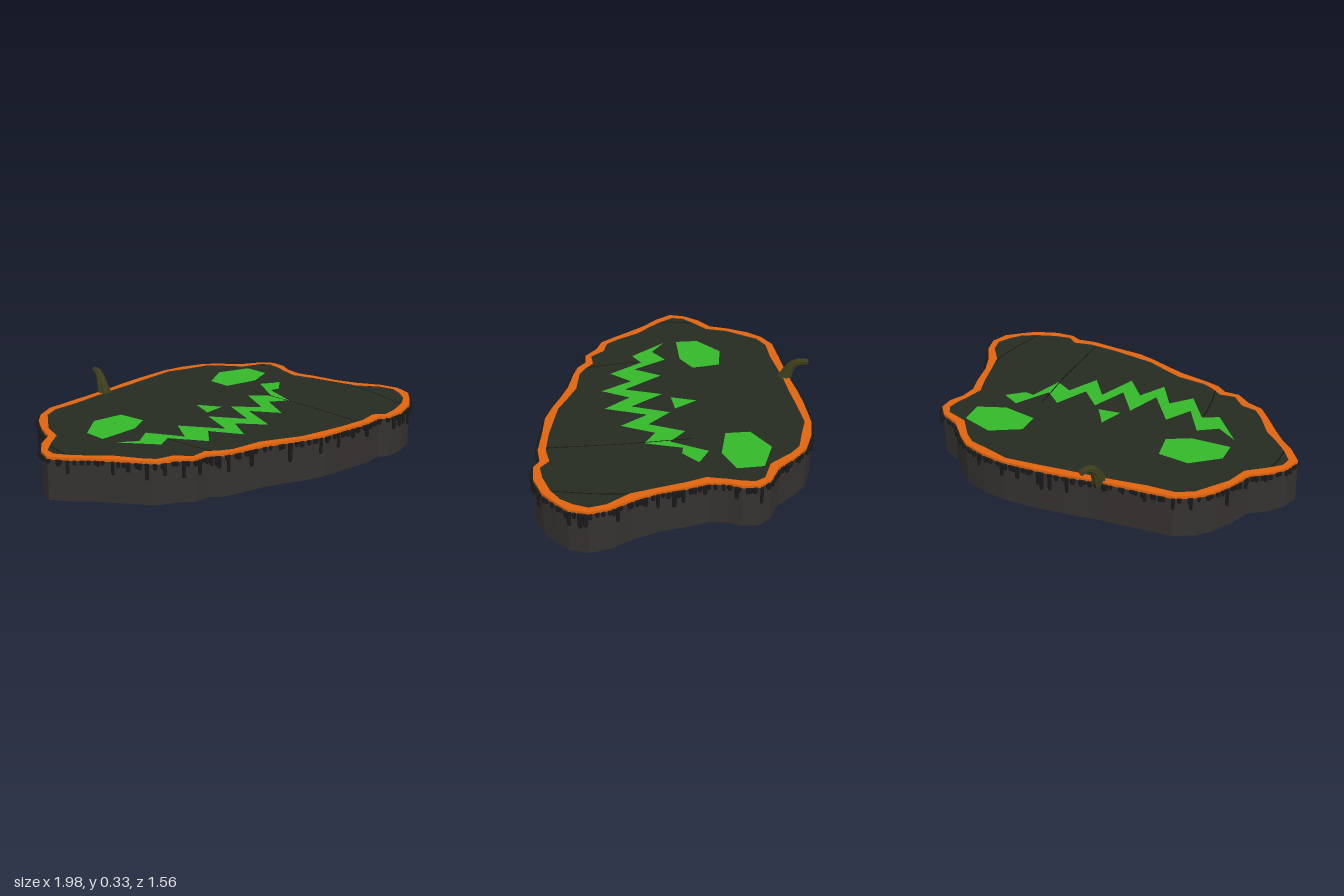
import * as THREE from 'three';
import { mergeGeometries } from 'three/addons/utils/BufferGeometryUtils.js';

// Outline seen from above as [x, z], starting at the back left
const OUTLINE = [
  [-0.5, -0.70], [-0.35, -0.695], [-0.1, -0.685], [0.05, -0.69], [0.2, -0.685], [0.38, -0.67], [0.5, -0.635],
  [0.62, -0.575], [0.68, -0.51], [0.76, -0.4], [0.86, -0.335], [0.9, -0.27], [0.89, -0.19], [0.85, -0.13],
  [0.83, -0.04], [0.85, 0.06], [0.865, 0.2], [0.9, 0.32], [0.955, 0.44], [0.97, 0.54], [0.93, 0.63],
  [0.86, 0.68], [0.78, 0.73], [0.65, 0.76], [0.55, 0.75], [0.5, 0.715], [0.4, 0.715], [0.25, 0.68], [0.1, 0.65],
  [0, 0.605], [-0.1, 0.55], [-0.2, 0.5], [-0.35, 0.45], [-0.42, 0.42], [-0.47, 0.37], [-0.55, 0.36],
  [-0.62, 0.29], [-0.7, 0.25], [-0.75, 0.17], [-0.82, 0.05], [-0.87, -0.03], [-0.93, -0.1], [-0.985, -0.2],
  [-0.95, -0.28], [-0.88, -0.35], [-0.79, -0.4], [-0.74, -0.5], [-0.67, -0.6], [-0.6, -0.66],
];

// Carved face
const FACE = {
  rightEye: [[-0.63, -0.29], [-0.48, -0.39], [-0.32, -0.35], [-0.31, -0.2], [-0.43, -0.15], [-0.64, -0.17]],
  leftEye: [[0.41, -0.345], [0.57, -0.415], [0.735, -0.335], [0.73, -0.2], [0.58, -0.16], [0.40, -0.22]],
  nose: [[0.05, -0.15], [0.115, -0.02], [-0.01, -0.02]],
  mouth: [
    [-0.645, -0.105], [-0.54, -0.015], [-0.435, -0.07], [-0.35, 0.115], [-0.255, -0.015], [-0.135, 0.2],
    [-0.05, 0.015], [0.05, 0.195], [0.145, 0.01], [0.245, 0.14], [0.345, -0.03], [0.43, 0.065],
    [0.55, -0.105], [0.645, -0.035], [0.745, -0.105], [0.55, 0.03], [0.5, 0.015], [0.425, 0.195],
    [0.335, 0.125], [0.235, 0.285], [0.15, 0.135], [0.05, 0.34], [-0.045, 0.195], [-0.14, 0.33],
    [-0.22, 0.16], [-0.325, 0.255], [-0.425, 0.07], [-0.51, 0.105],
  ],
};

const RIM_TOP = 0.225, PANEL_TOP = 0.22, BODY_TOP = 0.21;

const mat = (color, extra = {}) => new THREE.MeshStandardMaterial({ color, ...extra });
const toPoints = (pts) => pts.map(([x, z]) => new THREE.Vector2(x, -z));

function add(group, name, geometry, material) {
  const mesh = new THREE.Mesh(geometry, material);
  mesh.name = name;
  group.add(mesh);
  return mesh;
}

// Upright slab from y0 to y1 with optional holes
function slab(pts, y0, y1, holes = []) {
  const shape = new THREE.Shape(toPoints(pts));
  shape.holes = holes.map((h) => new THREE.Path(toPoints(h)));
  return new THREE.ExtrudeGeometry(shape, { depth: y1 - y0, bevelEnabled: false })
    .rotateX(-Math.PI / 2).translate(0, y0, 0);
}

function seeded(seed) {
  return () => (seed = (seed * 16807) % 2147483647) / 2147483647;
}

// Outline moved inwards by a slightly uneven width
function inset(pts, width) {
  const n = pts.length;
  return pts.map(([x, z], i) => {
    const a = pts[(i + n - 1) % n], b = pts[(i + 1) % n];
    const dx = b[0] - a[0], dz = b[1] - a[1], len = Math.hypot(dx, dz);
    const w = width * (1 + 0.2 * Math.sin(i * 2.3));
    return [x - (dz / len) * w, z + (dx / len) * w];
  });
}

// Row of short nubs and longer drips hanging below the rim
function dripGeometry() {
  const rand = seeded(77), drips = [];
  OUTLINE.forEach(([x, z], i) => {
    const [bx, bz] = OUTLINE[(i + 1) % OUTLINE.length];
    const dx = bx - x, dz = bz - z, len = Math.hypot(dx, dz);
    const count = Math.max(1, Math.round(len / 0.027));
    for (let k = 0; k < count; k++) {
      const t = (k + rand()) / count;
      const long = rand() < 0.25;
      const r = 0.008 + 0.004 * rand();
      const h = long ? 0.035 + 0.055 * rand() : 0.012 + 0.012 * rand();
      const out = 0.003 + 0.006 * rand();
      const g = new THREE.CylinderGeometry(r, r * 0.9, h, 6);
      const tip = new THREE.SphereGeometry(r * 0.9, 6, 3, 0, Math.PI * 2, Math.PI / 2, Math.PI / 2)
        .translate(0, -h / 2, 0);
      const drip = mergeGeometries([g, tip]);
      drip.scale(1.15, 1, 1).rotateY(-Math.atan2(dz, dx));
      drips.push(drip.translate(x + dx * t + (dz / len) * out, 0.213 - h / 2, z + dz * t - (dx / len) * out));
    }
  });
  return mergeGeometries(drips);
}

// Ribbed stem: a tube that tapers and is fluted around its axis
function stemGeometry() {
  const path = new THREE.CatmullRomCurve3([
    [-0.12, 0.212, -0.668], [-0.117, 0.255, -0.684], [-0.107, 0.295, -0.708],
    [-0.09, 0.317, -0.745], [-0.076, 0.319, -0.783],
  ].map((p) => new THREE.Vector3(...p)));
  const rings = 12, sides = 16;
  const g = new THREE.TubeGeometry(path, rings, 1, sides, false);
  const pos = g.attributes.position, v = new THREE.Vector3();
  for (let i = 0; i <= rings; i++) {
    const t = i / rings, c = path.getPointAt(t);
    const radius = 0.016 + 0.023 * Math.pow(1 - t, 1.6);
    for (let j = 0; j <= sides; j++) {
      const k = i * (sides + 1) + j;
      v.fromBufferAttribute(pos, k).sub(c).multiplyScalar(radius * (j % 2 ? 0.84 : 1)).add(c);
      pos.setXYZ(k, v.x, v.y, v.z);
    }
  }
  g.computeVertexNormals();
  return { g, end: path.getPointAt(1), dir: path.getTangentAt(1) };
}

export function createModel() {
  const model = new THREE.Group();
  model.name = 'carvedPumpkinSlab';

  // Thick side wall with closed bottom
  add(model, 'body', slab(OUTLINE, 0, BODY_TOP), mat(0x353131));

  // Orange rind around the top edge
  const inner = inset(OUTLINE, 0.04);
  add(model, 'rim', slab(OUTLINE, BODY_TOP, RIM_TOP, [inner]), mat(0xe0650f));

  // Dark top with face openings, and the glowing fill just beneath
  add(model, 'topPanel', slab(inner, BODY_TOP, PANEL_TOP, Object.values(FACE)), mat(0x262b22));
  const green = mat(0x35b82a);
  for (const [name, pts] of Object.entries(FACE)) {
    add(model, name, slab(pts, BODY_TOP, PANEL_TOP - 0.002), green);
  }

  // Fine creases in the top
  const creaseMaterial = mat(0x12150f);
  [
    [[-0.43, 0.09], [-0.43, 0.22], [-0.415, 0.38]],
    [[0.425, -0.05], [0.42, 0.05], [0.415, 0.25], [0.38, 0.67]],
    [[0.86, 0.25], [0.83, 0.45], [0.76, 0.69]],
    [[-0.87, -0.31], [-0.89, -0.22], [-0.9, -0.13]],
  ].forEach((pts) => {
    const curve = new THREE.CatmullRomCurve3(pts.map(([x, z]) => new THREE.Vector3(x, PANEL_TOP, z)));
    const g = new THREE.TubeGeometry(curve, 10, 0.003, 4).translate(0, -PANEL_TOP, 0);
    add(model, 'crease', g.scale(1, 0.4, 1).translate(0, PANEL_TOP, 0), creaseMaterial);
  });

  // Drips
  add(model, 'drips', dripGeometry(), mat(0x1b1a1a));

  // Stem and its cut end
  const { g, end, dir } = stemGeometry();
  const stem = new THREE.Group();
  stem.name = 'stem';
  add(stem, 'stemStalk', g, mat(0x3d3e1c, { flatShading: true }));
  const cut = add(stem, 'stemCut', new THREE.CircleGeometry(0.016, 16), mat(0x4a4030));
  cut.position.copy(end);
  cut.quaternion.setFromUnitVectors(new THREE.Vector3(0, 0, 1), dir);
  model.add(stem);

  return model;
}
